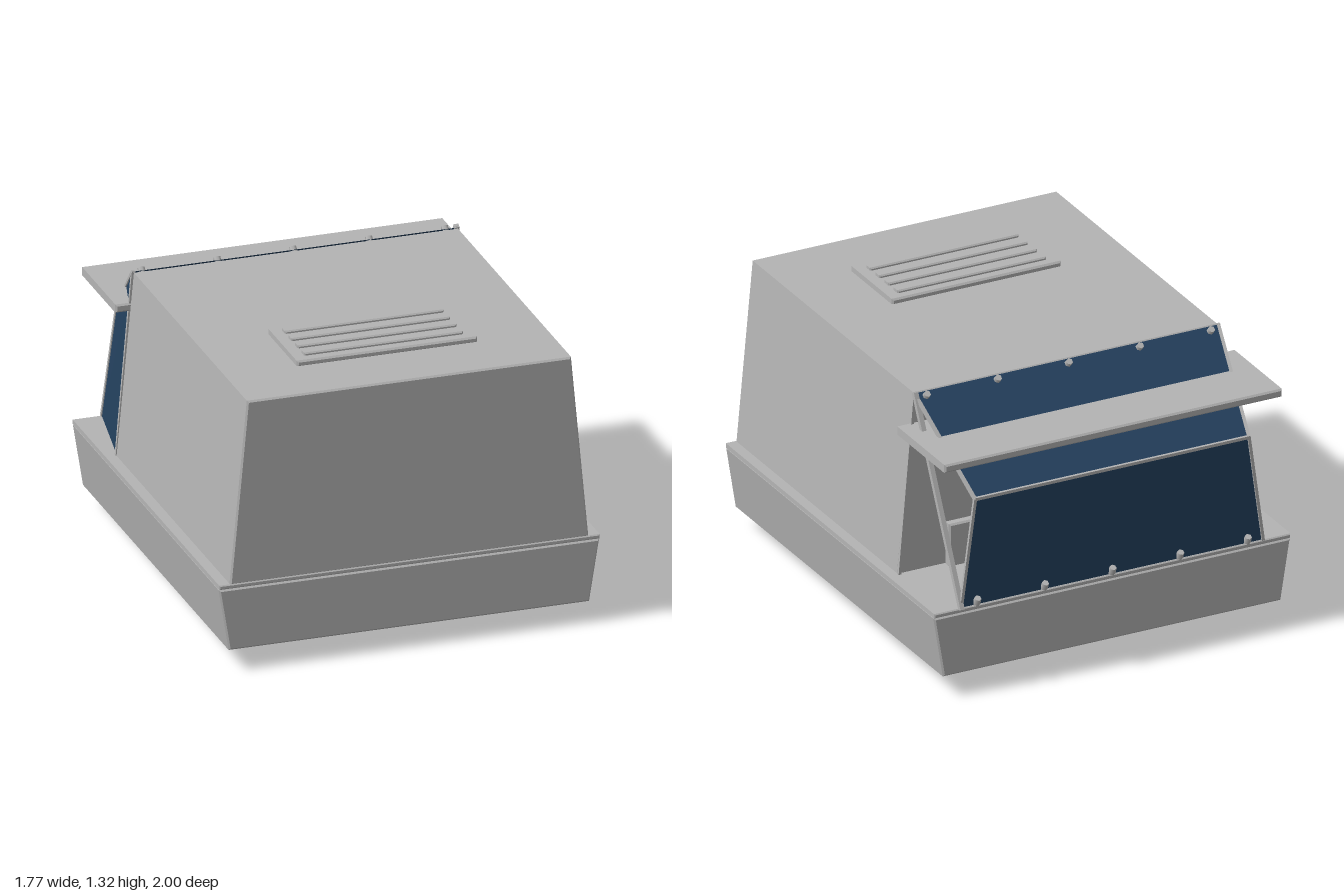
import * as THREE from 'three';

export function createModel() {
  const model = new THREE.Group();
  const grey = new THREE.MeshStandardMaterial({ color: 0xb4b4b4 });
  grey.name = 'grey metal';
  const blue = new THREE.MeshStandardMaterial({ color: 0x24415f, side: THREE.DoubleSide });
  blue.name = 'dark blue panel';

  function add(name, geometry, material = grey, parent = model) {
    const mesh = new THREE.Mesh(geometry, material);
    mesh.name = name;
    parent.add(mesh);
    return mesh;
  }
  function group(name) {
    const g = new THREE.Group();
    g.name = name;
    model.add(g);
    return g;
  }

  // Symmetric trapezoid in x/y, extruded along z, with a small chamfer
  function trapezoid(lowHalf, topHalf, y0, y1, z0, z1, b = 0.008) {
    const s = new THREE.Shape();
    s.moveTo(-lowHalf + b, y0 + b);
    s.lineTo(lowHalf - b, y0 + b);
    s.lineTo(topHalf - b, y1 - b);
    s.lineTo(-topHalf + b, y1 - b);
    s.closePath();
    const g = new THREE.ExtrudeGeometry(s, {
      depth: z1 - z0 - 2 * b, bevelEnabled: true, bevelThickness: b, bevelSize: b, bevelSegments: 1,
    });
    return g.translate(0, 0, z0 + b);
  }
  const slab = (half, y0, y1, z0, z1, b) => trapezoid(half, half, y0, y1, z0, z1, b);

  // Square bar between two points
  function bar(name, a, b, size, parent) {
    const p = new THREE.Vector3(...a), q = new THREE.Vector3(...b);
    const mesh = add(name, new THREE.BoxGeometry(size, size, p.distanceTo(q) + size * 0.6), grey, parent);
    mesh.position.copy(p).add(q).multiplyScalar(0.5);
    mesh.lookAt(q);
  }

  // Main body
  add('baseTray', trapezoid(0.84, 0.885, 0.1, 0.393, -0.975, 0.997));
  add('trayLip', slab(0.885, 0.395, 0.416, -0.978, 1, 0.005));
  add('housing', trapezoid(0.835, 0.755, 0.41, 1.28, -0.535, 0.997));

  // Roof vent
  const vent = group('roofVent');
  add('ventPlate', slab(0.42, 1.275, 1.305, 0.305, 0.7), grey, vent);
  for (let i = 0; i < 4; i++) {
    const z = 0.372 + i * 0.086;
    add('ventSlat', slab(0.37, 1.295, 1.318, z - 0.022, z + 0.022, 0.006), grey, vent);
  }

  // Mounting plate with hexagonal feet
  const mount = group('mountingPlate');
  add('plate', slab(0.49, 0.04, 0.092, -0.48, 0.51, 0.012), grey, mount);
  add('plateSpacer', slab(0.45, 0.085, 0.105, -0.44, 0.47, 0.004), grey, mount);
  add('platePad', slab(0.42, 0.03, 0.05, -0.405, 0.435, 0.006), grey, mount);
  for (const x of [-0.295, 0.295]) {
    for (const z of [-0.285, 0.31]) {
      add('foot', new THREE.CylinderGeometry(0.037, 0.037, 0.04, 6).toNonIndexed(), grey, mount)
        .position.set(x, 0.02, z);
    }
  }

  // Rear hood: corner points for each side s
  const wallLow = (s) => [s * 0.83, 0.416, -0.54];
  const wallTop = (s) => [s * 0.755, 1.28, -0.54];
  const backTop = (s) => [s * 0.68, 0.93, -0.97];
  const backLow = (s) => [s * 0.75, 0.416, -0.97];
  const hood = group('rearHood');
  function panel(name, a, b, c, d) {
    const g = new THREE.BufferGeometry();
    g.setAttribute('position', new THREE.Float32BufferAttribute([a, b, c, a, c, d].flat(), 3));
    g.computeVertexNormals();
    add(name, g, blue, hood);
  }
  panel('backPanel', backLow(1), backLow(-1), backTop(-1), backTop(1));
  panel('slopedPanel', backTop(1), backTop(-1), wallTop(-1), wallTop(1));
  panel('sidePanel', backLow(-1), wallLow(-1), wallTop(-1), backTop(-1));

  // Hood edge trim
  for (const s of [-1, 1]) {
    bar('backEdge', backLow(s), backTop(s), 0.014, hood);
    bar('slopeEdge', backTop(s), wallTop(s), 0.014, hood);
    bar('wallEdge', wallLow(s), wallTop(s), 0.014, hood);
  }
  bar('bendEdge', backTop(-1), backTop(1), 0.014, hood);

  // Diagonal brace across the open side
  bar('brace', [0.755, 1.28, -0.55], [0.752, 0.416, -0.978], 0.022, hood);

  // Low box on the rear wall inside the hood
  add('innerLedge', slab(0.6, 0.41, 0.62, -0.576, -0.53), grey, hood);

  // Rear shelf
  add('shelf', slab(0.838, 1.097, 1.136, -0.988, -0.528));

  // Bolts along the upper and lower hood edges
  const bolts = group('hoodBolts');
  const boltShape = new THREE.CylinderGeometry(0.016, 0.018, 0.035, 6);
  for (let i = -2; i <= 2; i++) {
    const top = add('upperBolt', boltShape, grey, bolts);
    top.position.set(i * 0.353, 1.268, -0.56);
    top.rotation.x = -0.7;
    const low = add('lowerBolt', boltShape, grey, bolts);
    low.position.set(i * 0.336, 0.436, -0.975);
    low.rotation.x = -0.5;
  }
  return model;
}
